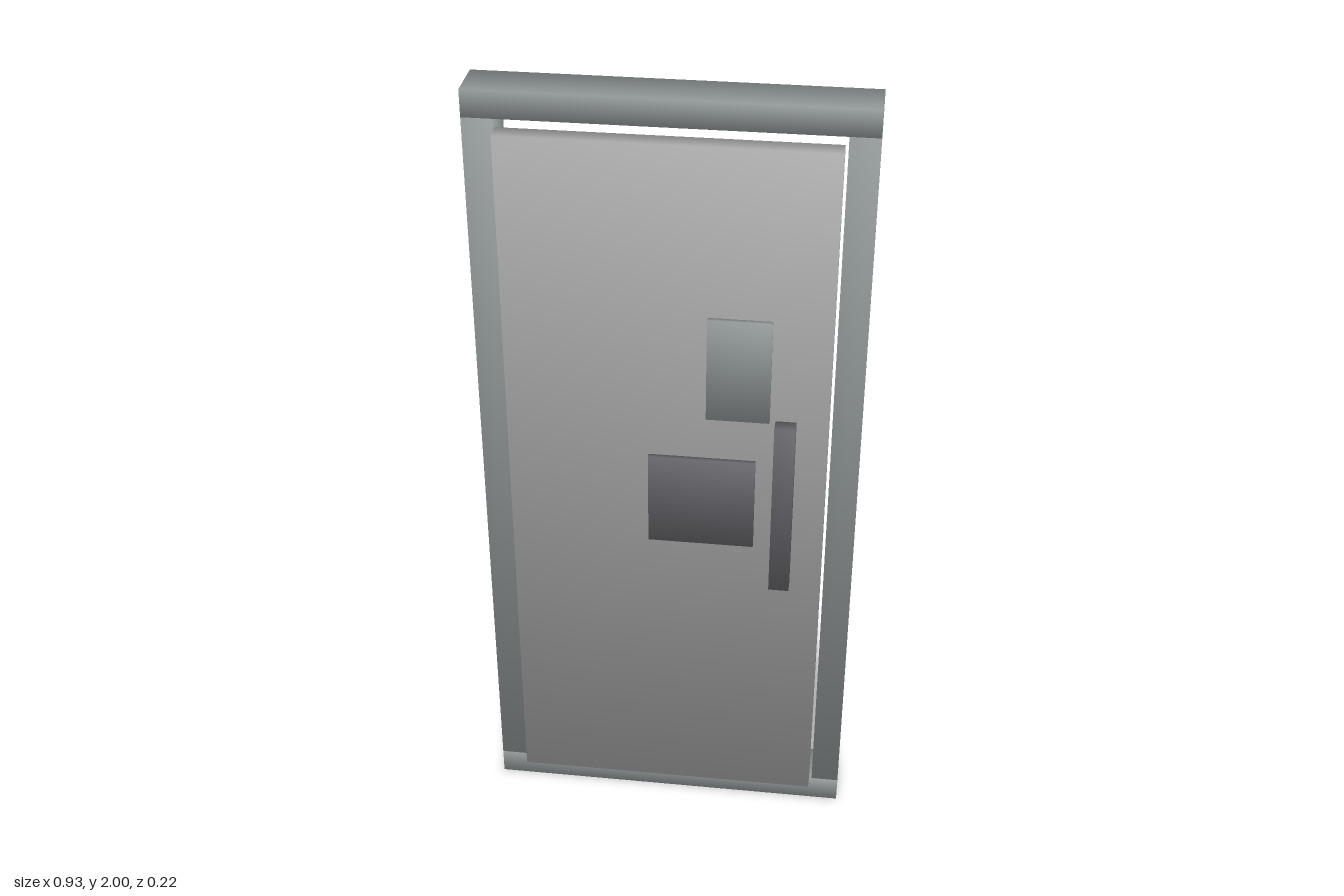
import * as THREE from 'three';
import { mergeVertices } from 'three/addons/utils/BufferGeometryUtils.js';

const paint = (color) => new THREE.MeshStandardMaterial({ color });

// Box between two corners; each welded corner gets a diagonal normal for soft shading
function softBox(name, [x0, y0, z0], [x1, y1, z1], material) {
  let geo = new THREE.BoxGeometry(1, 1, 1);
  geo.deleteAttribute('normal');
  geo.deleteAttribute('uv');
  geo = mergeVertices(geo);
  geo.setAttribute('normal', geo.getAttribute('position').clone());
  geo.normalizeNormals();
  const pos = geo.getAttribute('position');
  for (let i = 0; i < pos.count; i++) {
    pos.setXYZ(i, pos.getX(i) * (x1 - x0), pos.getY(i) * (y1 - y0), pos.getZ(i) * (z1 - z0));
  }
  const mesh = new THREE.Mesh(geo, material);
  mesh.name = name;
  mesh.position.set((x0 + x1) / 2, (y0 + y1) / 2, (z0 + z1) / 2);
  return mesh;
}

export function createModel() {
  const model = new THREE.Group();
  model.name = 'door';

  const steel = paint(0x959b9b);
  const grey = paint(0xadadad);
  const dark = paint(0x68686d);

  // Frame: lintel and sill span the full width, posts stand between them
  const W = 0.463, back = -0.109, front = 0.009, post = 0.07;
  const low = 0.068, high = 1.935;
  const frame = new THREE.Group();
  frame.name = 'frame';
  frame.add(
    softBox('lintel', [-W, high, back], [W, 2, front], steel),
    softBox('sill', [-W, 0, back], [W, low, front], steel),
    softBox('rightPost', [-W, low, back], [-W + post, high, front], steel),
    softBox('leftPost', [W - post, low, back], [W, high, front], steel)
  );
  model.add(frame);

  // Door leaf, set against the front plane of the frame
  model.add(softBox('leaf', [-0.386, 0.08, front], [0.386, 1.916, 0.057], grey));

  // Pull handle
  model.add(softBox('handle', [0.26, 0.764, 0.057], [0.31, 1.233, 0.094], dark));

  // Thin plates held just off the leaf
  model.add(softBox('upperPlate', [0.1, 1.257, 0.097], [0.249, 1.52, 0.109], steel));
  model.add(softBox('lowerPlate', [-0.037, 0.901, 0.097], [0.219, 1.143, 0.109], dark));

  return model;
}
